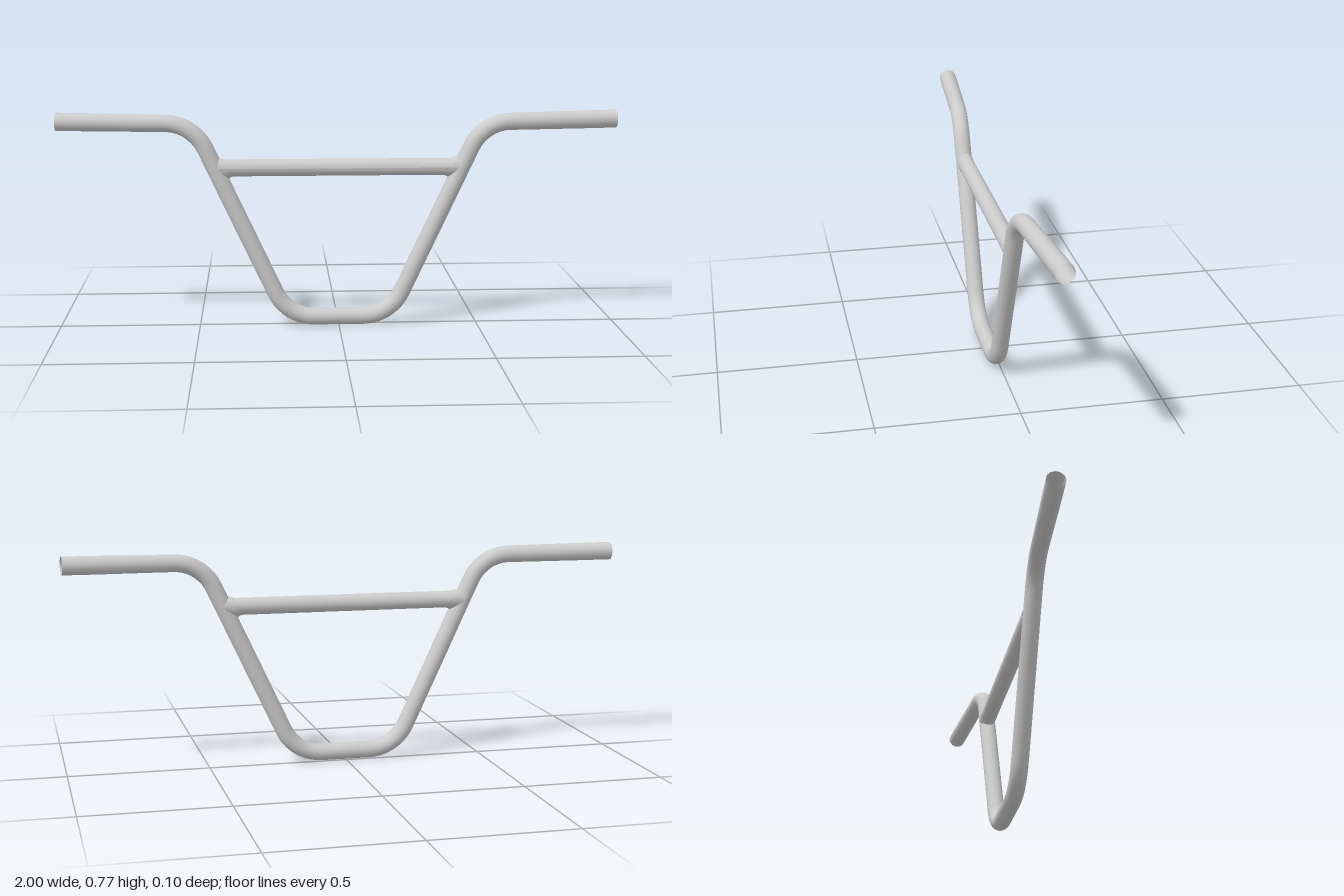
import * as THREE from 'three';

const RADIUS = 0.0305;
const Z = 0.0165;
const SLOPE = 0.469; // sideways lean of the legs per unit of height
const BAR_Y = 0.575; // height of the crossbar

const material = new THREE.MeshStandardMaterial({ color: 0xcccccc, side: THREE.DoubleSide });

// Polyline with every inner corner replaced by a circular-looking bend.
function bentPath(corners, bend) {
  const path = new THREE.CurvePath();
  let from = corners[0];
  for (let i = 1; i < corners.length - 1; i++) {
    const c = corners[i];
    const toward = (p) => c.clone().add(p.clone().sub(c).setLength(bend));
    const a = toward(corners[i - 1]);
    const b = toward(corners[i + 1]);
    path.add(new THREE.LineCurve3(from, a));
    path.add(new THREE.CubicBezierCurve3(a, a.clone().lerp(c, 0.608), b.clone().lerp(c, 0.608), b));
    from = b;
  }
  path.add(new THREE.LineCurve3(from, corners[corners.length - 1]));
  return path;
}

// One open tube: grip, leg, base, leg, grip. The grips are slightly thicker.
function makeMainTube() {
  const half = [[0.186, 0.031, Z], [0.514, 0.733, 0.0195], [0.9975, 0.739, -0.0165]];
  const right = half.map(([x, y, z]) => new THREE.Vector3(-x, y, z)).reverse();
  const left = half.map(([x, y, z]) => new THREE.Vector3(x, y, z));
  const geometry = new THREE.TubeGeometry(bentPath([...right, ...left], 0.098), 160, RADIUS, 20, false);
  const pos = geometry.attributes.position;
  const nor = geometry.attributes.normal;
  const p = new THREE.Vector3();
  const n = new THREE.Vector3();
  for (let i = 0; i < pos.count; i++) {
    p.fromBufferAttribute(pos, i);
    n.fromBufferAttribute(nor, i);
    p.addScaledVector(n, 0.0017 * THREE.MathUtils.smoothstep(Math.abs(p.x), 0.55, 0.95));
    pos.setXYZ(i, p.x, p.y, p.z);
  }
  const mesh = new THREE.Mesh(geometry, material);
  mesh.name = 'bentTube';
  return mesh;
}

// Crossbar whose ends are cut to the lean of the legs and flare into a weld.
function makeCrossbar() {
  const reach = 0.44; // leg centreline at crossbar height
  const stations = [[0, 1], [0.034, 1.22], [0.042, 1.07], [0.054, 1]]; // distance from leg, height scale
  const rings = [
    ...stations.map(([d, s]) => [-(reach - d), s]),
    ...stations.map(([d, s]) => [reach - d, s]).reverse(),
  ];
  const geometry = new THREE.CylinderGeometry(RADIUS, RADIUS, 1, 20, rings.length - 1, true);
  geometry.rotateZ(-Math.PI / 2);
  const pos = geometry.attributes.position;
  for (let i = 0; i < pos.count; i++) {
    const ring = Math.round((pos.getX(i) + 0.5) * (rings.length - 1));
    const [x, scale] = rings[ring];
    const y = pos.getY(i) * scale;
    pos.setXYZ(i, x + Math.sign(x) * SLOPE * y, y, pos.getZ(i));
  }
  geometry.computeVertexNormals();
  const mesh = new THREE.Mesh(geometry, material);
  mesh.position.set(0, BAR_Y, Z);
  mesh.name = 'crossbar';
  return mesh;
}

export function createModel() {
  const group = new THREE.Group();
  group.name = 'handlebar';
  group.add(makeMainTube(), makeCrossbar());
  return group;
}
